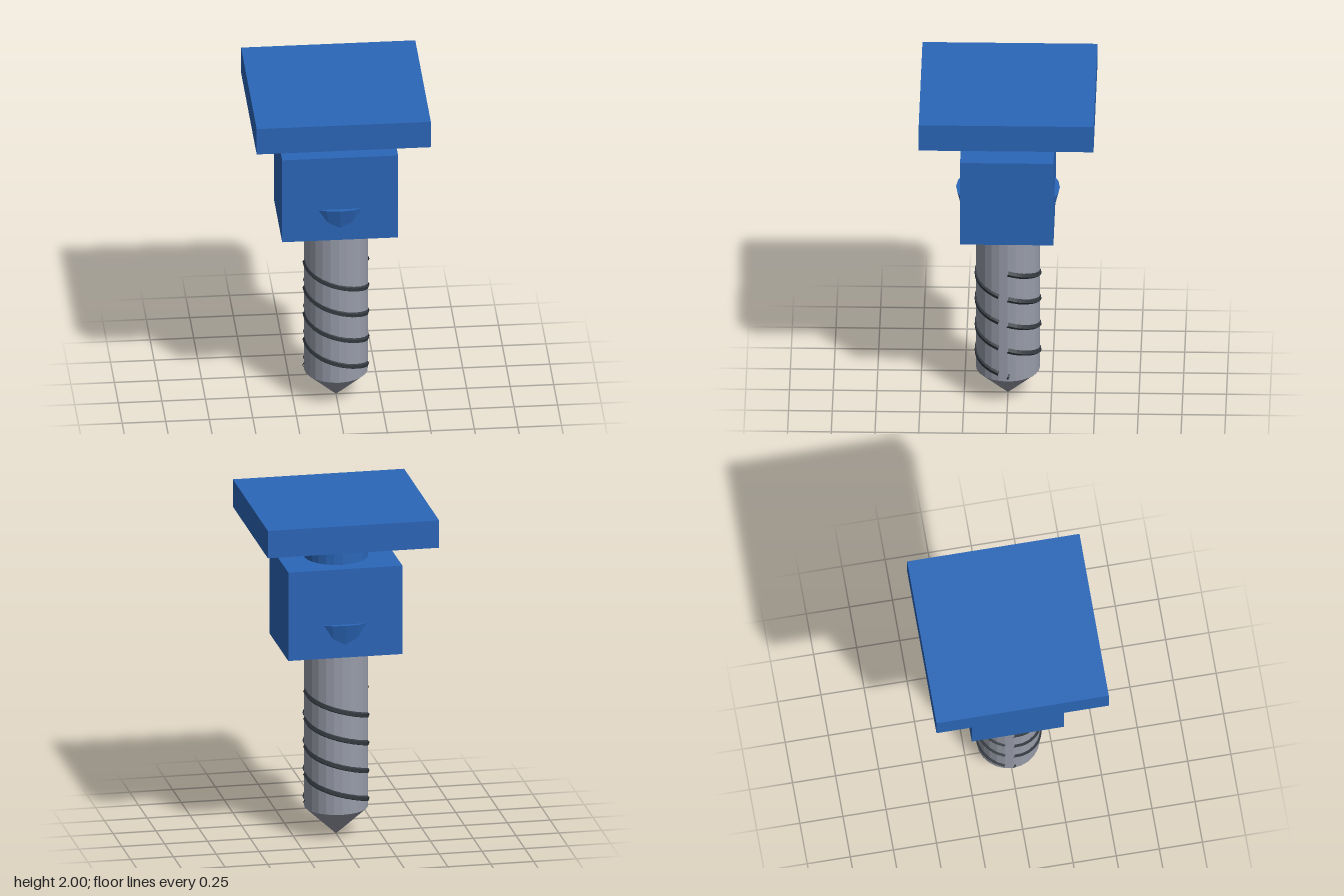
import * as THREE from 'three';

const SIDES = 24;
const SHAFT_R = 0.183;

export function createModel() {
  const model = new THREE.Group();
  model.name = 'anchorBolt';

  const mat = (name, color, opts = {}) => {
    const m = new THREE.MeshStandardMaterial({ color, flatShading: true, ...opts });
    m.name = name;
    return m;
  };
  const blue = mat('blue paint', 0x2b67b9);
  const grey = mat('grey steel', 0x989ca9);
  const dark = mat('dark thread', 0x343a40, { side: THREE.DoubleSide });

  const add = (name, geometry, material, y = 0) => {
    const mesh = new THREE.Mesh(geometry, material);
    mesh.name = name;
    mesh.position.y = y;
    model.add(mesh);
    return mesh;
  };
  // Round section between two heights
  const round = (name, rTop, rBottom, y0, y1, material) =>
    add(name, new THREE.CylinderGeometry(rTop, rBottom, y1 - y0, SIDES), material, (y0 + y1) / 2);
  // Box section between two heights
  const block = (name, w, d, y0, y1) =>
    add(name, new THREE.BoxGeometry(w, y1 - y0, d), blue, (y0 + y1) / 2);

  // Blue head: square plate, neck, body and the tapered ring that bulges through it
  block('headPlate', 1, 1, 1.836, 2);
  round('neck', SHAFT_R, SHAFT_R, 1.66, 1.84, blue);
  block('body', 0.666, 0.534, 1.137, 1.667);
  round('taperedRing', 0.297, 0.249, 1.14, 1.335, blue);

  // Steel shaft and point
  round('shaft', SHAFT_R, SHAFT_R, 0.167, 1.14, grey);
  round('point', SHAFT_R, 0, 0, 0.167, grey);

  // Two-start thread: each half turn sinks into the shaft just before the side
  const threads = new THREE.Group();
  threads.name = 'threads';
  model.add(threads);
  const HALF_PITCH = 1 / 6;
  const threadArc = (startAngle, yTop, sweep, steps) => {
    const points = [];
    for (let i = 0; i <= steps; i++) {
      const t = (sweep * i) / steps;
      const a = startAngle - t;
      points.push(new THREE.Vector3(
        0.173 * Math.cos(a), yTop - (HALF_PITCH * t) / Math.PI, 0.173 * Math.sin(a)));
    }
    const curve = new THREE.CatmullRomCurve3(points);
    const mesh = new THREE.Mesh(new THREE.TubeGeometry(curve, steps * 2, 0.02, 6), dark);
    mesh.name = 'threadArc';
    threads.add(mesh);
  };
  for (const side of [0, Math.PI]) {
    for (let k = 0; k < 4; k++) {
      threadArc(side, 0.867 - k * HALF_PITCH, Math.PI * (165 / 180), 10);
    }
    // Short run-out at the bottom
    threadArc(side, 0.2, 0.06, 2);
  }
  return model;
}
